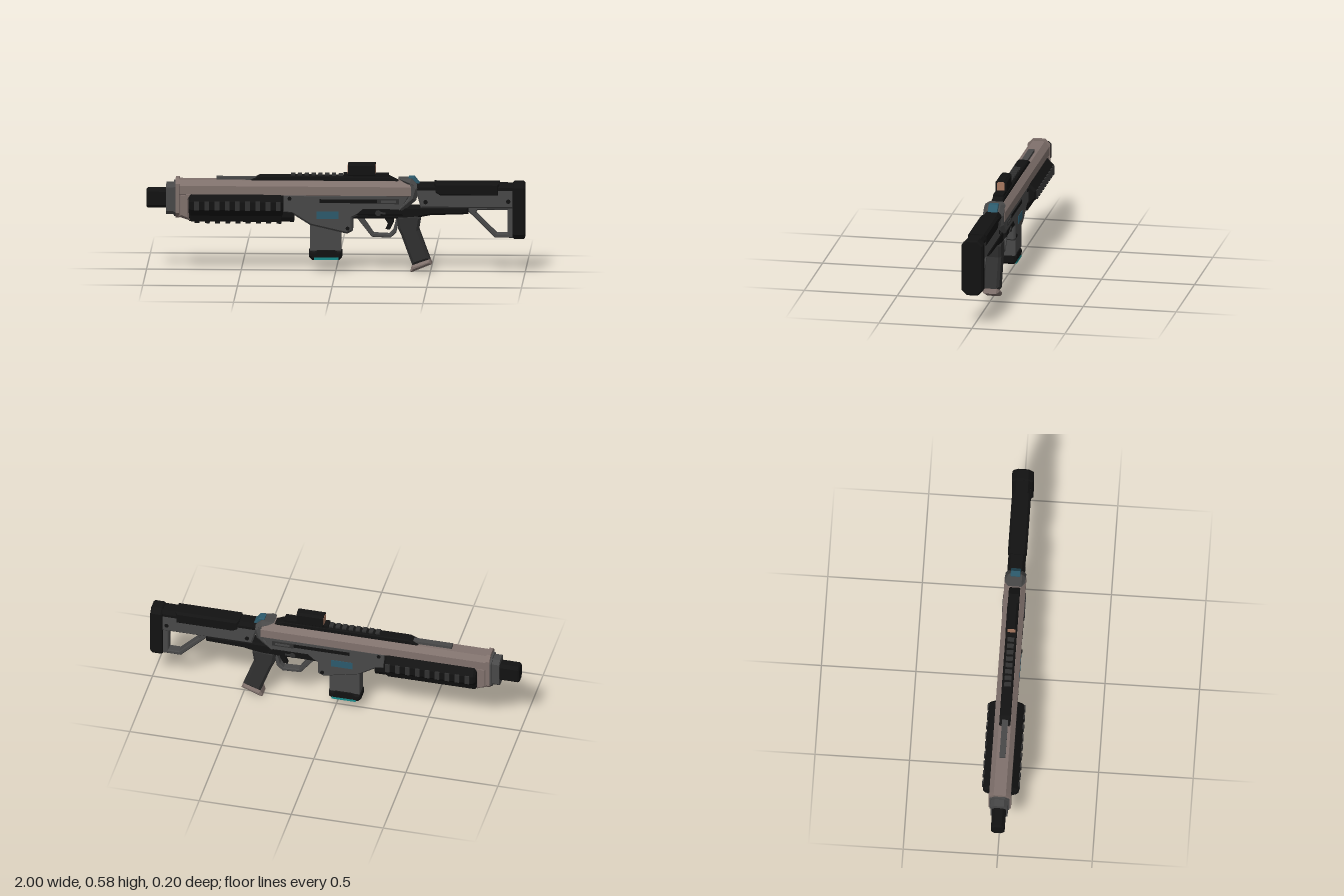
import * as THREE from 'three';

const mat = (color) => new THREE.MeshStandardMaterial({ color, flatShading: true });
const BLACK = mat(0x121212), DARK = mat(0x303030), GREY = mat(0x484848), TAN = mat(0x80716c);
const BLUE = mat(0x2c5a6c), CYAN = mat(0x178a8a), LENS = mat(0xa87860);

export function createModel() {
  const model = new THREE.Group();

  const add = (name, geometry, material) => {
    const mesh = new THREE.Mesh(geometry, material);
    mesh.name = name;
    model.add(mesh);
    return mesh;
  };
  const toShape = (pts) => new THREE.Shape(pts.map(([a, b]) => new THREE.Vector2(a, b)));
  const extrude = (shape, depth, bevel) => new THREE.ExtrudeGeometry(shape, {
    depth: depth - 2 * bevel, bevelEnabled: bevel > 0, bevelThickness: bevel,
    bevelSize: bevel, bevelOffset: -bevel, bevelSegments: 1,
  }).translate(0, 0, bevel - depth / 2);

  // Side outline [x, y] extruded across z with chamfered edges
  const plate = (name, pts, half, bevel, material, hole) => {
    const shape = toShape(pts);
    if (hole) shape.holes.push(toShape(hole));
    return add(name, extrude(shape, half * 2, bevel), material);
  };
  // Symmetric section given as [half width, y] from top to bottom, run along x
  const beam = (name, side, x0, x1, material, bevel = 0) => {
    const pts = [...side.map(([w, y]) => [-w, y]), ...[...side].reverse()];
    const g = extrude(toShape(pts), x1 - x0, bevel).rotateY(Math.PI / 2);
    return add(name, g.translate((x0 + x1) / 2, 0, 0), material);
  };
  // Octagonal beam: half width, y range, chamfer
  const octo = (name, x0, x1, y0, y1, w, c, material, bevel = 0) =>
    beam(name, [[w - c, y1], [w, y1 - c], [w, y0 + c], [w - c, y0]], x0, x1, material, bevel);
  const box = (name, x0, x1, y0, y1, half, material) =>
    add(name, new THREE.BoxGeometry(x1 - x0, y1 - y0, half * 2)
      .translate((x0 + x1) / 2, (y0 + y1) / 2, 0), material);
  const pin = (name, x, y, r, half, material) =>
    add(name, new THREE.CylinderGeometry(r, r, half * 2, 8)
      .rotateX(Math.PI / 2).translate(x, y, 0), material);

  // Muzzle and front collars
  octo('muzzle', -1, -0.87, 0.333, 0.437, 0.036, 0.016, BLACK, 0.008);
  octo('muzzleCollar', -0.895, -0.85, 0.3, 0.465, 0.045, 0.02, GREY);
  octo('frontCollarGrey', -0.855, -0.835, 0.29, 0.475, 0.053, 0.025, GREY);
  octo('frontCollar', -0.845, -0.825, 0.283, 0.495, 0.06, 0.028, TAN);

  // Upper receiver shell and its front frame
  const roof = [[0.032, 0.485], [0.057, 0.457], [0.057, 0.41], [0.045, 0.405]];
  beam('upperReceiver', roof, -0.83, 0.4, TAN);
  plate('frontFrame', [[-0.83, 0.42], [-0.83, 0.29], [-0.77, 0.27], [-0.77, 0.38], [-0.74, 0.42]],
    0.057, 0.015, TAN);
  box('topRib', -0.63, -0.42, 0.48, 0.5, 0.016, GREY);

  // Handguard with flared sides and ribs
  beam('handguard', [[0.05, 0.416], [0.06, 0.411], [0.095, 0.378], [0.095, 0.335], [0.057, 0.298],
    [0.045, 0.265]], -0.775, -0.277, BLACK, 0.012);
  beam('handguardCore', [[0.05, 0.416], [0.05, 0.29], [0.035, 0.265]], -0.775, -0.22, BLACK);
  for (let i = 0; i < 9; i++) {
    const x = -0.745 + i * 0.054;
    box('sideRib', x, x + 0.025, 0.333, 0.381, 0.1, DARK);
    box('bottomRib', x, x + 0.025, 0.253, 0.28, 0.03, BLACK);
  }

  // Top rail and teeth
  plate('topRail', [[-0.46, 0.48], [-0.4, 0.51], [0.28, 0.51], [0.34, 0.48]], 0.03, 0.006, BLACK);
  for (let i = 0; i < 8; i++) box('railTooth', -0.237 + i * 0.036, -0.215 + i * 0.036, 0.5, 0.52, 0.018, DARK);

  // Sight
  box('sightBase', 0.04, 0.28, 0.5, 0.522, 0.027, BLACK);
  octo('sightHousing', 0.065, 0.21, 0.505, 0.578, 0.03, 0.012, BLACK);
  for (const x of [0.063, 0.208]) {
    beam('lens', [[0.014, 0.57], [0.021, 0.563], [0.021, 0.524]], x, x + 0.004, LENS);
  }

  // Rear receiver cap
  plate('rearCap', [[0.33, 0.5], [0.4, 0.5], [0.445, 0.455], [0.425, 0.385], [0.34, 0.31],
    [0.3, 0.33], [0.37, 0.4], [0.39, 0.46]], 0.055, 0.02, GREY);
  plate('rearLatch', [[0.385, 0.48], [0.385, 0.507], [0.415, 0.507], [0.445, 0.47], [0.43, 0.455]],
    0.026, 0.003, BLUE);

  // Lower receiver and magazine well
  plate('lowerReceiver', [[-0.28, 0.415], [-0.28, 0.315], [-0.23, 0.31], [-0.135, 0.25], [0.06, 0.205],
    [0.09, 0.22], [0.09, 0.29], [0.14, 0.315], [0.34, 0.315], [0.395, 0.415]], 0.054, 0.01, GREY);
  plate('lowerFrame', [[0.03, 0.285], [0.08, 0.35], [0.42, 0.35], [0.7, 0.348], [0.7, 0.312],
    [0.5, 0.305], [0.4, 0.285]], 0.042, 0.01, BLACK);
  plate('lowerPanel', [[0.1, 0.305], [0.14, 0.345], [0.34, 0.345], [0.36, 0.305]], 0.056, 0.008, BLACK);
  box('sideSlot', -0.085, 0.23, 0.37, 0.39, 0.056, BLACK);
  box('slotHandle', 0.22, 0.335, 0.367, 0.393, 0.06, DARK);
  box('slotHandleInset', 0.24, 0.32, 0.374, 0.386, 0.061, GREY);
  box('bluePanel', -0.1, 0.015, 0.284, 0.325, 0.056, BLUE);
  pin('frontPin', -0.243, 0.392, 0.011, 0.057, BLACK);
  pin('wellPin', 0.064, 0.234, 0.011, 0.058, BLACK);
  pin('selector', 0.225, 0.318, 0.016, 0.06, DARK);
  box('selectorLever', 0.225, 0.265, 0.313, 0.323, 0.06, DARK);

  // Magazine
  octo('magazine', -0.135, 0.028, 0.1, 0.3, 0.042, 0.014, GREY);
  plate('magazineBase', [[-0.142, 0.11], [-0.142, 0.08], [-0.125, 0.062], [0.02, 0.062], [0.033, 0.075],
    [0.033, 0.11], [0.01, 0.11], [0, 0.125], [-0.1, 0.125], [-0.11, 0.11]], 0.046, 0.012, BLACK);
  box('magazineStrip', -0.115, 0.015, 0.064, 0.076, 0.047, CYAN);

  // Trigger and guard
  plate('triggerGuard', [[0.1, 0.3], [0.19, 0.185], [0.29, 0.18], [0.32, 0.21], [0.34, 0.3]],
    0.022, 0.004, GREY, [[0.145, 0.285], [0.2, 0.204], [0.283, 0.2], [0.302, 0.22], [0.32, 0.285]]);
  plate('trigger', [[0.25, 0.295], [0.275, 0.255], [0.262, 0.225], [0.285, 0.222], [0.305, 0.26],
    [0.305, 0.295]], 0.012, 0.002, BLACK);

  // Pistol grip and its cap
  plate('grip', [[0.32, 0.3], [0.33, 0.23], [0.345, 0.2], [0.405, 0.035], [0.498, 0.068],
    [0.44, 0.225], [0.45, 0.29], [0.43, 0.31]], 0.045, 0.014, DARK);
  plate('gripCap', [[0.403, 0.036], [0.393, 0.003], [0.403, 0], [0.508, 0.043], [0.497, 0.07]],
    0.045, 0.012, TAN);

  // Stock body, cheek piece and strut
  plate('stockBody', [[0.42, 0.445], [0.45, 0.345], [0.94, 0.345], [0.94, 0.455], [0.45, 0.455]],
    0.045, 0.008, GREY);
  beam('stockTop', [[0.032, 0.473], [0.046, 0.455], [0.046, 0.44]], 0.41, 0.94, BLACK);
  plate('cheekPiece', [[0.52, 0.48], [0.52, 0.425], [0.55, 0.407], [0.865, 0.407], [0.865, 0.48]],
    0.05, 0.012, BLACK);
  plate('stockStrut', [[0.7, 0.35], [0.7, 0.325], [0.84, 0.185], [0.94, 0.185], [0.94, 0.35]],
    0.026, 0.005, GREY, [[0.75, 0.333], [0.74, 0.318], [0.85, 0.208], [0.908, 0.208], [0.908, 0.333]]);
  pin('stockPinFront', 0.475, 0.377, 0.012, 0.047, BLACK);
  pin('stockPinRear', 0.912, 0.382, 0.012, 0.047, BLACK);

  // Butt pad
  octo('buttPad', 0.935, 1, 0.18, 0.483, 0.057, 0.027, BLACK, 0.008);

  return model;
}
